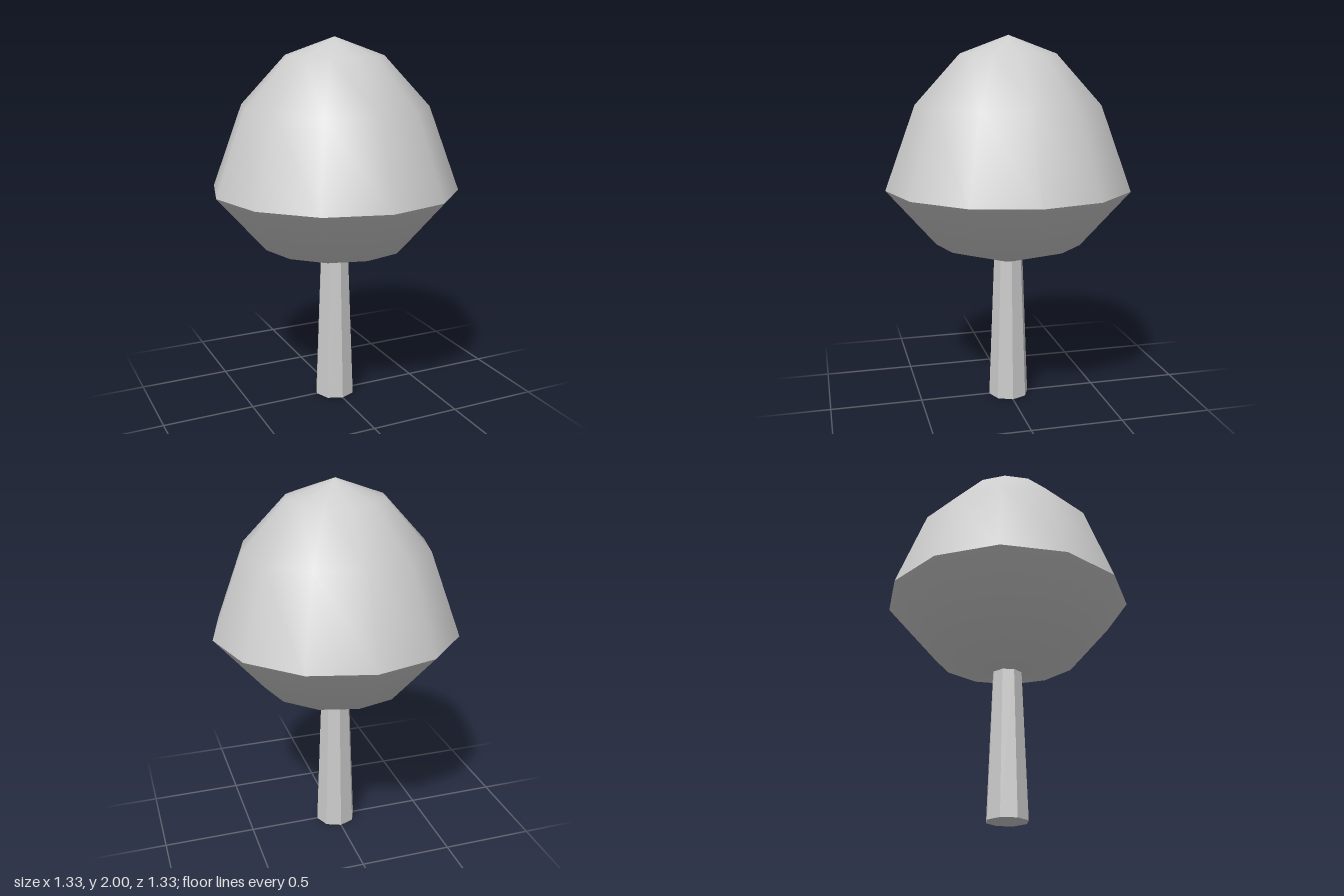
import * as THREE from 'three';

export function createModel() {
  const model = new THREE.Group();
  model.name = 'tree';
  const grey = new THREE.MeshStandardMaterial({ name: 'light grey', color: 0xcccccc });
  const greyFlat = grey.clone();
  greyFlat.flatShading = true;

  const add = (name, geometry, material) => {
    const mesh = new THREE.Mesh(geometry, material);
    mesh.name = name;
    model.add(mesh);
    return mesh;
  };
  // Profiles run from bottom to top so the faces point outwards
  const lathe = (profile) =>
    new THREE.LatheGeometry(profile.map(([r, y]) => new THREE.Vector2(r, y)), 12);

  // Foliage: smooth dome and smooth underside meeting at a sharp rim
  add('foliageTop', lathe([[0.665, 1.2], [0.5, 1.645], [0.26, 1.905], [0, 2]]), grey);
  add('foliageUnderside', lathe([[0, 0.77], [0.4, 0.895], [0.665, 1.2]]), grey);

  // Trunk: tapered, eight flat sides, ending just inside the foliage
  add('trunk', new THREE.CylinderGeometry(0.08, 0.112, 0.82, 8), greyFlat).position.y = 0.41;

  return model;
}
